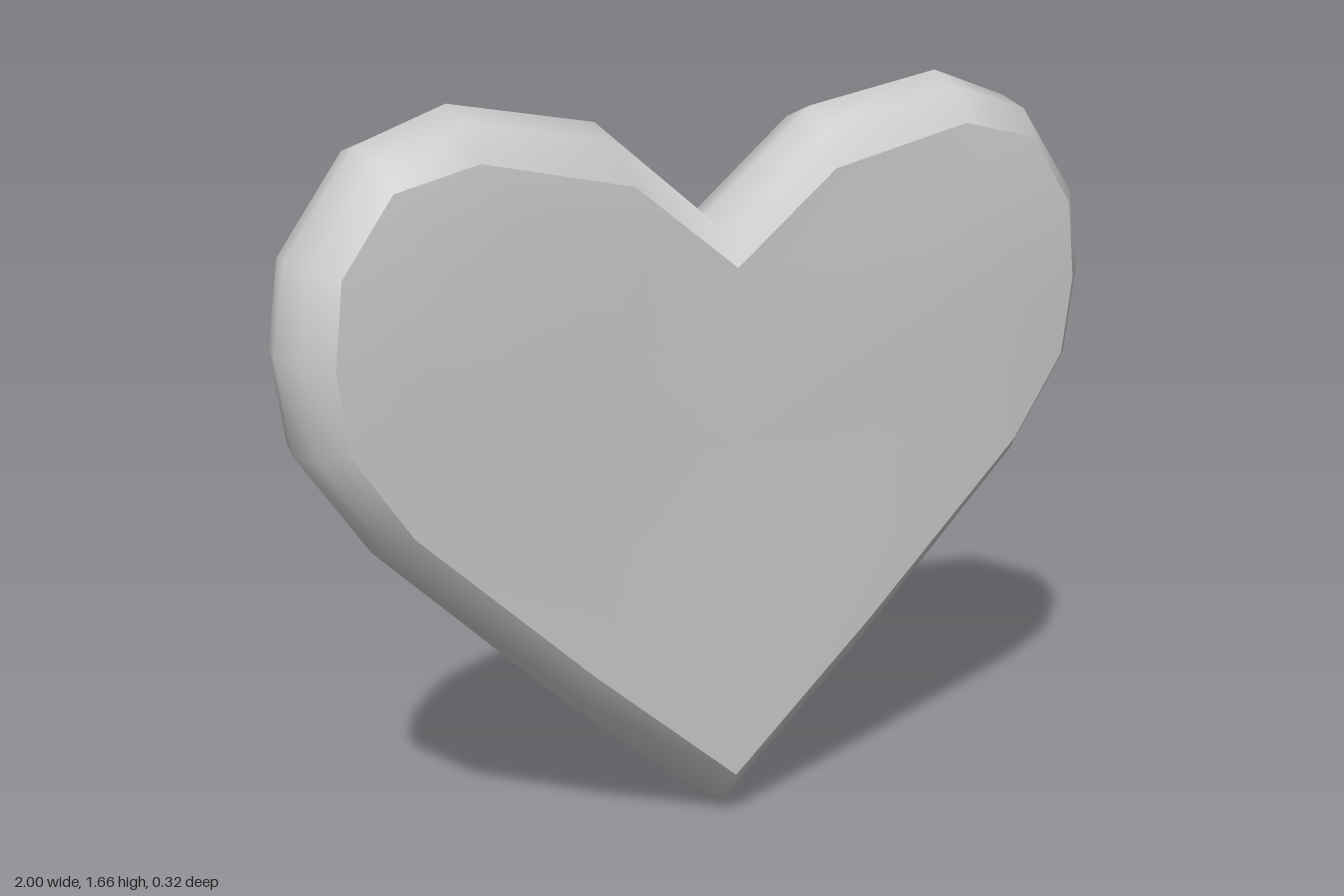
import * as THREE from 'three';

// Right half of the heart from bottom tip to top notch: widest outline and face edge
const outerHalf = [[0, 0], [0.37, 0.32], [0.81, 0.74], [0.97, 0.97], [1, 1.18],
  [0.97, 1.37], [0.81, 1.59], [0.61, 1.66], [0.27, 1.6], [0, 1.38]];
const faceHalf = [[0, 0.11], [0.36, 0.42], [0.77, 0.8], [0.9, 0.99], [0.925, 1.17],
  [0.905, 1.35], [0.79, 1.51], [0.6, 1.555], [0.25, 1.48], [0, 1.285]];

// Mirror a half outline into a closed counter-clockwise loop
const mirror = (half) => [...half, ...half.slice(1, -1).reverse().map(([x, y]) => [-x, y])];
const outer = mirror(outerHalf);
const edge = mirror(faceHalf);

// Blend two loops, with depth given as a function of the blended point
const blend = (a, b, t, depth) => a.map(([x, y], i) => {
  const px = x + (b[i][0] - x) * t;
  const py = y + (b[i][1] - y) * t;
  return [px, py, depth(px, py)];
});

// Join closed loops of equal length into one smooth surface
function loft(loops) {
  const n = loops[0].length;
  const index = [];
  for (let r = 0; r < loops.length - 1; r++) {
    for (let i = 0; i < n; i++) {
      const j = (i + 1) % n;
      const a = r * n + i, b = r * n + j, c = a + n, d = b + n;
      index.push(a, b, d, a, d, c);
    }
  }
  const geometry = new THREE.BufferGeometry();
  geometry.setAttribute('position', new THREE.Float32BufferAttribute(loops.flat(2), 3));
  geometry.setIndex(index);
  geometry.computeVertexNormals();
  return geometry;
}

export function createModel() {
  const model = new THREE.Group();
  model.name = 'heart';
  const material = new THREE.MeshStandardMaterial({ color: 0xcccccc });

  // Rounded rim, from the back face edge around to the front face edge
  const rimSteps = [[1, -0.14], [0.27, -0.085], [0, 0], [0.27, 0.085], [1, 0.14]];
  const rim = new THREE.Mesh(
    loft(rimSteps.map(([t, z]) => blend(outer, edge, t, () => z))), material);
  rim.name = 'rim';
  model.add(rim);

  // Faces, swelling slightly on the two lobes
  const centre = edge.map(() => [0, 0.9]);
  const swell = (x, y) =>
    0.14 + 0.021 * Math.exp(-(((Math.abs(x) - 0.73) / 0.3) ** 2) - ((y - 1.28) / 0.35) ** 2);
  const faceGeometry = loft([
    blend(edge, centre, 0, () => 0.14),
    blend(edge, centre, 0.19, swell),
    blend(edge, centre, 0.55, swell),
    blend(edge, centre, 1, () => 0.14),
  ]);
  for (const [name, turn] of [['frontFace', 0], ['backFace', Math.PI]]) {
    const face = new THREE.Mesh(faceGeometry, material);
    face.name = name;
    face.rotation.y = turn;
    model.add(face);
  }
  return model;
}
